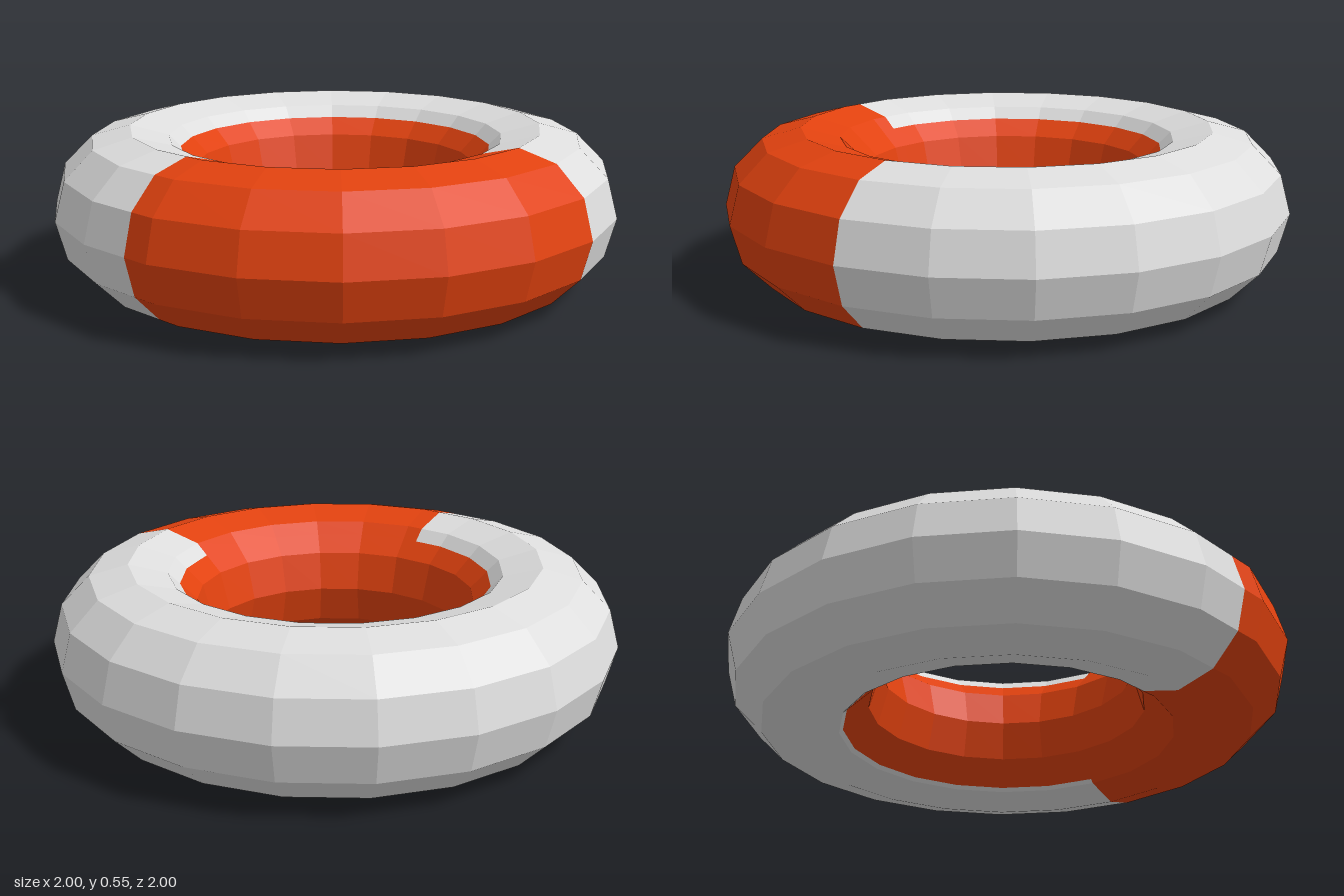
import * as THREE from 'three';

const SEGMENTS = 20, SIDES = 12;      // around the ring, around the tube
const RADIUS = 0.7275, TUBE = 0.2725;

// Coloured zones, in segment and side numbers
const FRONT = [2, 7.34];              // orange front sector, counted from +x towards +z
const INNER = [4.41, 7.87];           // orange band on the inner wall

const inside = (n, [from, to]) => n > from && n < to;

// Whole steps plus the extra cuts where the colour changes
function stations(count, cuts) {
  const all = Array.from({ length: count + 1 }, (_, i) => i);
  return [...new Set([...all, ...cuts])].sort((a, b) => a - b);
}

// Corner of the low-poly ring at whole segment u and side v
function corner(u, v) {
  const a = (u / SEGMENTS) * Math.PI * 2, b = (v / SIDES) * Math.PI * 2;
  const r = RADIUS + TUBE * Math.cos(b);
  return new THREE.Vector3(r * Math.cos(a), TUBE + TUBE * Math.sin(b), r * Math.sin(a));
}

// Point on the flat facets, so the cuts do not bend the surface
function point(u, v) {
  const i = Math.floor(u), j = Math.floor(v);
  const low = corner(i, j).lerp(corner(i + 1, j), u - i);
  const high = corner(i, j + 1).lerp(corner(i + 1, j + 1), u - i);
  return low.lerp(high, v - j);
}

// All facets whose centre passes the test
function ringPart(name, material, test) {
  const us = stations(SEGMENTS, FRONT), vs = stations(SIDES, INNER);
  const points = [];
  for (let i = 0; i < us.length - 1; i++) {
    for (let j = 0; j < vs.length - 1; j++) {
      if (!test((us[i] + us[i + 1]) / 2, (vs[j] + vs[j + 1]) / 2)) continue;
      const a = point(us[i], vs[j]), b = point(us[i], vs[j + 1]);
      const c = point(us[i + 1], vs[j + 1]), d = point(us[i + 1], vs[j]);
      points.push(a, b, c, a, c, d);
    }
  }
  const geometry = new THREE.BufferGeometry().setFromPoints(points);
  geometry.computeVertexNormals();    // unshared corners give flat facets
  const mesh = new THREE.Mesh(geometry, material);
  mesh.name = name;
  return mesh;
}

export function createModel() {
  const white = new THREE.MeshStandardMaterial({ color: 0xdedede });
  white.name = 'white';
  const orange = new THREE.MeshStandardMaterial({ color: 0xe2420f });
  orange.name = 'orange';

  const isOrange = (u, v) => inside(u, FRONT) || inside(v, INNER);
  const group = new THREE.Group();
  group.name = 'ring';
  group.add(
    ringPart('whiteRing', white, (u, v) => !isOrange(u, v)),
    ringPart('orangeFrontAndInnerBand', orange, isOrange),
  );
  return group;
}
